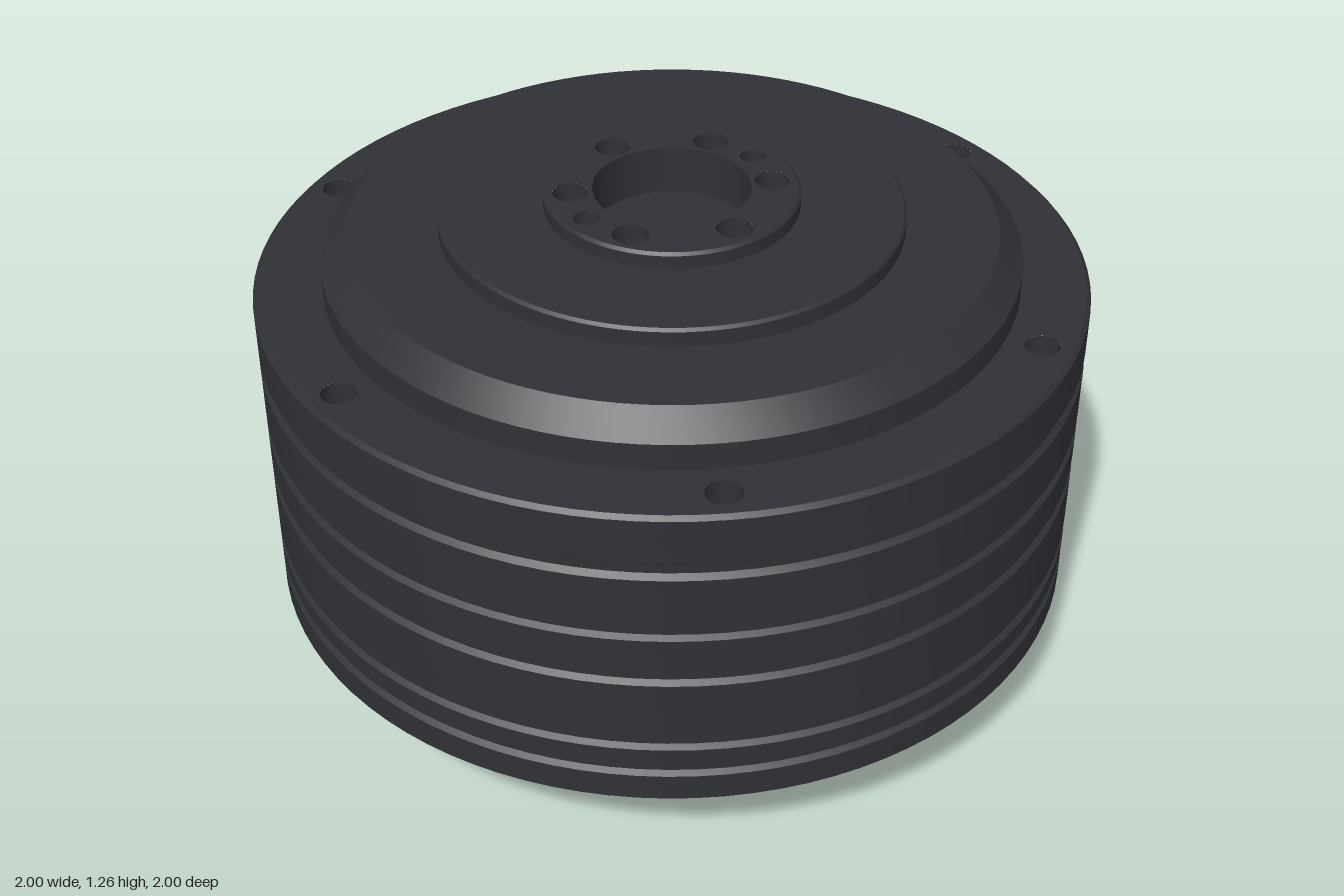
import * as THREE from 'three';
import { mergeGeometries, toCreasedNormals } from 'three/addons/utils/BufferGeometryUtils.js';

const SEG = 96;
const mat = new THREE.MeshStandardMaterial({ color: 0x303136 });
const thin = new THREE.MeshStandardMaterial({ color: 0x303136, side: THREE.DoubleSide });
const rad = THREE.MathUtils.degToRad;

function add(group, name, geo, material = mat) {
  const mesh = new THREE.Mesh(geo, material);
  mesh.name = name;
  group.add(mesh);
  return mesh;
}

function lathe(points) {
  return new THREE.LatheGeometry(points.map(([r, y]) => new THREE.Vector2(r, y)), SEG);
}

// Profile points of a shallow groove around a wall of radius r
function groove(r, y, w, d) {
  return [[r, y - w / 2], [r - d, y - w / 4], [r - d, y + w / 4], [r, y + w / 2]];
}

// Flat ring with blind round holes; dir 1 faces up, -1 faces down
function drilledRing(group, name, rOut, rIn, y, dir, holes, depth) {
  const shape = new THREE.Shape().absarc(0, 0, rOut, 0, Math.PI * 2);
  shape.holes.push(new THREE.Path().absarc(0, 0, rIn, 0, Math.PI * 2, true));
  const cups = [];
  for (const { angle, dist, r } of holes) {
    const x = dist * Math.cos(rad(angle)), z = dist * Math.sin(rad(angle));
    const path = new THREE.Path();
    path.moveTo(x + r, -dir * z);
    path.absarc(x, -dir * z, r, 0, Math.PI * 2, true);
    shape.holes.push(path);
    cups.push(new THREE.CylinderGeometry(r, r, depth, 24, 1, true).translate(x, y - dir * depth / 2, z));
    cups.push(new THREE.CircleGeometry(r, 24).rotateX(-dir * Math.PI / 2).translate(x, y - dir * depth, z));
  }
  const face = new THREE.ShapeGeometry(shape, SEG / 2).rotateX(-dir * Math.PI / 2).translate(0, y, 0);
  add(group, name, face);
  add(group, name + 'Holes', mergeGeometries(cups), thin);
}

const around = (start, dist, r) =>
  Array.from({ length: 6 }, (_, i) => ({ angle: start + i * 60, dist, r }));

// Foot outline: circle with one flat side and six round-ended slots
function footShape() {
  const R = 0.72, flat = 0.62, w = 0.045, inner = 0.66;
  const slots = [-140, -90, -40, 40, 90, 140];
  const pts = [];
  const half = Math.asin(w / R) * 180 / Math.PI;
  const edge = 180 - Math.acos(flat / R) * 180 / Math.PI;
  const arc = (from, to) => {
    const n = Math.ceil((to - from) / 3);
    for (let i = 0; i <= n; i++) {
      const a = rad(from + (to - from) * i / n);
      pts.push(new THREE.Vector2(R * Math.cos(a), R * Math.sin(a)));
    }
  };
  let from = -edge;
  for (const s of slots) {
    arc(from, s - half);
    const c = Math.cos(rad(s)), n = Math.sin(rad(s));
    for (let i = 0; i <= 8; i++) {
      const t = Math.PI * i / 8;
      const u = inner - w * Math.sin(t), v = -w * Math.cos(t);
      pts.push(new THREE.Vector2(u * c - v * n, u * n + v * c));
    }
    from = s + half;
  }
  arc(from, edge);
  return new THREE.Shape(pts);
}

export function createModel() {
  const model = new THREE.Group();
  model.name = 'roundHousing';

  // Main drum wall with five grooves
  const wall = [[0.99, 0.24], [1, 0.25]];
  for (const [y, w] of [[0.335, 0.035], [0.415, 0.035], [0.607, 0.04], [0.733, 0.035], [0.905, 0.045]])
    wall.push(...groove(1, y, w, 0.013));
  wall.push([1, 1.04], [0.99, 1.05]);
  add(model, 'drumWall', toCreasedNormals(lathe(wall), 0.5));
  drilledRing(model, 'drumTop', 0.99, 0.83, 1.05, 1, around(15, 0.92, 0.042), 0.06);
  drilledRing(model, 'drumUnderside', 0.99, 0.55, 0.24, -1, around(15, 0.91, 0.034), 0.06);

  // Stepped cap with chamfer and raised hub wall
  add(model, 'steppedCap', toCreasedNormals(lathe([
    [0.835, 1.05], [0.835, 1.115], [0.775, 1.175], [0.555, 1.175],
    [0.555, 1.213], [0.548, 1.22], [0.305, 1.22], [0.305, 1.253], [0.298, 1.26],
  ]), 0.5));

  // Hub face with bolt holes, pin holes and central bore
  const hubHoles = [...around(45, 0.24, 0.043),
    { angle: -45, dist: 0.245, r: 0.032 }, { angle: 135, dist: 0.245, r: 0.032 }];
  drilledRing(model, 'hubFace', 0.298, 0.188, 1.26, 1, hubHoles, 0.06);
  add(model, 'hubBore', toCreasedNormals(lathe([[0.188, 1.26], [0.188, 1.14], [0, 1.14]]), 0.5), thin);

  // Ribbed neck, pushed in on one side to follow the flat
  const neck = [[0, 0.06], [0.72, 0.06], [0.72, 0.085]];
  for (const y of [0.11, 0.16, 0.21]) neck.push(...groove(0.715, y, 0.03, 0.016));
  neck.push([0.7, 0.24]);
  const neckGeo = lathe(neck);
  const pos = neckGeo.attributes.position;
  for (let i = 0; i < pos.count; i++) {
    const r = Math.hypot(pos.getX(i), pos.getZ(i));
    if (r > 0.5) pos.setX(i, Math.max(pos.getX(i), 0.1 - r));
  }
  add(model, 'neck', toCreasedNormals(neckGeo, 0.5));

  // Slotted foot
  const foot = new THREE.ExtrudeGeometry(footShape(), { depth: 0.052, bevelEnabled: false });
  foot.rotateX(-Math.PI / 2).translate(0, 0.008, 0);
  add(model, 'slottedFoot', toCreasedNormals(foot, 0.5));

  // Raised grip pattern under the foot
  const pads = [];
  for (let i = 0; i < 10; i++) {
    for (let j = 0; j < 24; j++) {
      const x = -0.27 + i * 0.085, z = (j - 11.5) * 0.043;
      if (Math.hypot(x, z) > 0.62) continue;
      const side = j % 2 ? 1 : -1;
      pads.push(new THREE.BoxGeometry(0.055, 0.01, 0.012).translate(x, 0.005, z));
      pads.push(new THREE.BoxGeometry(0.012, 0.01, 0.022).translate(x + side * 0.0215, 0.005, z + 0.017));
    }
  }
  add(model, 'gripPattern', mergeGeometries(pads));

  return model;
}
